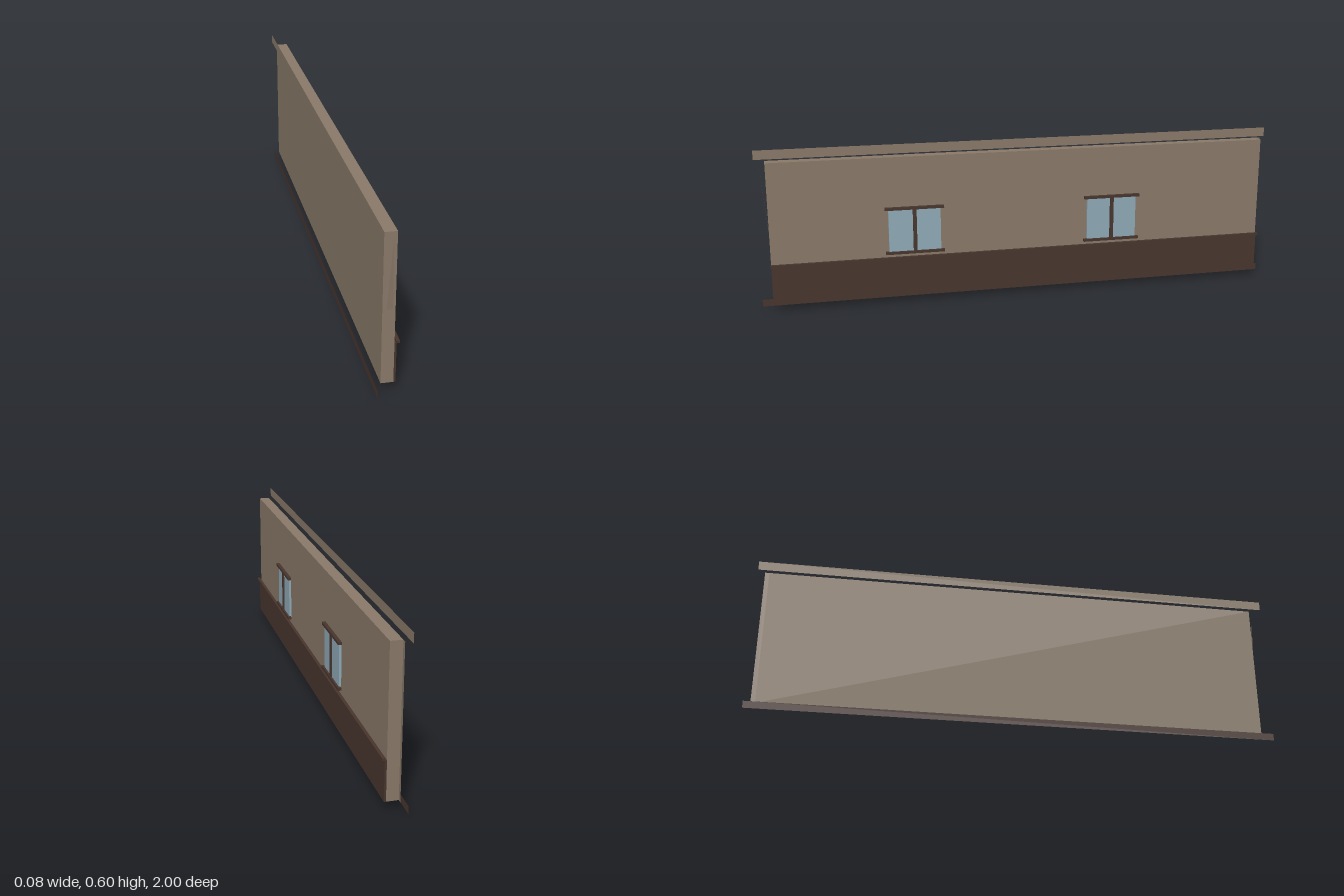
import * as THREE from 'three';

export function createModel() {
  const group = new THREE.Group();
  const material = (name, color, side = THREE.FrontSide) => {
    const m = new THREE.MeshStandardMaterial({ color, side });
    m.name = name;
    return m;
  };
  const plaster = material('plaster', 0x8a7a69, THREE.DoubleSide);
  const wood = material('dark wood', 0x48352d, THREE.DoubleSide);
  const glass = material('window glass', 0x90abb8);

  const add = (parent, name, geometry, mat) => {
    const mesh = new THREE.Mesh(geometry, mat);
    mesh.name = name;
    parent.add(mesh);
    return mesh;
  };
  // Box given by its limits on each axis
  const box = (parent, name, mat, [x0, x1], [y0, y1], [z0, z1]) => {
    const mesh = add(parent, name, new THREE.BoxGeometry(x1 - x0, y1 - y0, z1 - z0), mat);
    mesh.position.set((x0 + x1) / 2, (y0 + y1) / 2, (z0 + z1) / 2);
  };
  // Flat strip without thickness, facing sideways
  const strip = (name, mat, x, [y0, y1], [z0, z1]) => {
    const mesh = add(group, name, new THREE.PlaneGeometry(z1 - z0, y1 - y0), mat);
    mesh.rotation.y = Math.PI / 2;
    mesh.position.set(x, (y0 + y1) / 2, (z0 + z1) / 2);
  };

  // Wall slab with its wooden wainscot and rail
  box(group, 'wall', plaster, [-0.0205, 0.0215], [0.029, 0.564], [-0.959, 0.959]);
  box(group, 'wainscot', wood, [0.0215, 0.0285], [0.029, 0.173], [-0.959, 0.959]);
  box(group, 'wainscotRail', wood, [0.027, 0.0385], [0.173, 0.182], [-0.961, 0.961]);

  // Thin trims on the far side
  strip('topTrim', plaster, -0.0385, [0.565, 0.6], [-1, 1]);
  strip('bottomTrim', wood, -0.0385, [0, 0.027], [-1, 1]);
  strip('endFlange', plaster, -0.0205, [0.029, 0.564], [-0.975, -0.959]);

  // Slanted sliver at the front end
  const sliver = new THREE.BufferGeometry().setFromPoints([
    new THREE.Vector3(-0.02, 0.029, 0.938),
    new THREE.Vector3(0.0215, 0.029, 0.938),
    new THREE.Vector3(0.005, 0.564, 0.98),
  ]);
  sliver.computeVertexNormals();
  add(group, 'endSliver', sliver, plaster);

  // Two windows with lintel, sill and central mullion
  for (const z of [0.426, -0.343]) {
    const win = new THREE.Group();
    win.name = 'window';
    win.position.z = z;
    group.add(win);
    box(win, 'glass', glass, [0.0225, 0.031], [0.2, 0.366], [-0.098, 0.098]);
    box(win, 'mullion', wood, [0.0225, 0.037], [0.2, 0.366], [-0.007, 0.007]);
    box(win, 'lintel', wood, [0.025, 0.0385], [0.365, 0.375], [-0.111, 0.111]);
    box(win, 'sill', wood, [0.025, 0.0385], [0.194, 0.204], [-0.111, 0.111]);
  }
  return group;
}
